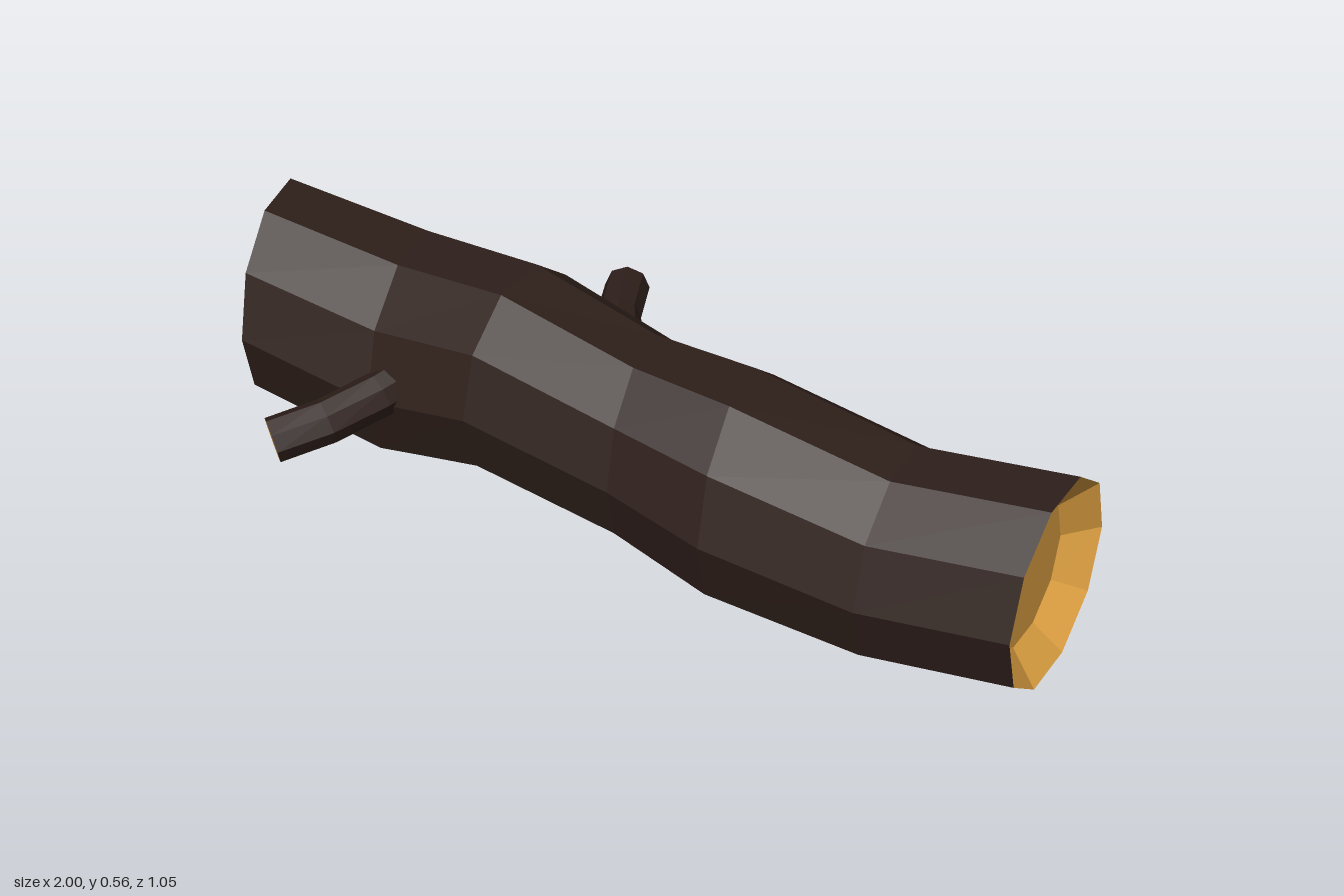
import * as THREE from 'three';

const bark = new THREE.MeshStandardMaterial({ color: 0x2e1f1a, flatShading: true });
const wood = new THREE.MeshStandardMaterial({ color: 0xe0a242, flatShading: true });

// A ring of the loft: centre, axis direction and radius
const ring = (c, axis, r) => ({ c, axis: axis.clone().normalize(), r });

// Skin a sequence of rings; a ring of radius 0 closes the surface to a point
function loft(name, rings, sides, material) {
  const up = new THREE.Vector3(0, 1, 0);
  const loops = rings.map(({ c, axis, r }) => {
    const d = axis.clone().cross(up).normalize();
    const u = d.clone().cross(axis);
    return Array.from({ length: sides }, (_, j) => {
      const a = (j / sides) * Math.PI * 2;
      return c.clone().addScaledVector(d, r * Math.cos(a)).addScaledVector(u, r * Math.sin(a));
    });
  });
  const points = [];
  for (let i = 0; i < rings.length - 1; i++) {
    for (let j = 0; j < sides; j++) {
      const k = (j + 1) % sides;
      const a = loops[i][j], b = loops[i + 1][j], c = loops[i + 1][k], d = loops[i][k];
      if (rings[i + 1].r > 0) points.push(a, b, c);
      if (rings[i].r > 0) points.push(a, c, d);
    }
  }
  const geometry = new THREE.BufferGeometry().setFromPoints(points);
  geometry.computeVertexNormals();
  const mesh = new THREE.Mesh(geometry, material);
  mesh.name = name;
  return mesh;
}

// Branch stub swept along a short path, closed by a flat cut
function branch(name, path, radius) {
  const pts = path.map((p) => new THREE.Vector3(...p));
  const rings = pts.map((p, i) => {
    const axis = pts[Math.min(i + 1, pts.length - 1)].clone().sub(pts[Math.max(i - 1, 0)]);
    return ring(p, axis, radius);
  });
  const tip = rings[rings.length - 1];
  const group = new THREE.Group();
  group.name = name;
  group.add(
    loft(name + 'Bark', rings, 8, bark),
    loft(name + 'Cut', [tip, ring(tip.c, tip.axis, 0)], 8, wood),
  );
  return group;
}

export function createModel() {
  const model = new THREE.Group();
  model.name = 'log';

  // Trunk rings: x, y, z, radius, yaw
  const trunk = [
    [-0.88, 0.33, 0.185, 0.241, 0.53],
    [-0.565, 0.273, 0.067, 0.252, 0.45],
    [-0.28, 0.316, 0.015, 0.232, 0.3],
    [0.035, 0.27, -0.048, 0.22, 0.46],
    [0.265, 0.243, -0.1, 0.247, 0.44],
    [0.625, 0.215, -0.19, 0.226, 0.34],
    [0.935, 0.245, -0.307, 0.225, 0.29],
  ].map(([x, y, z, r, yaw]) =>
    ring(new THREE.Vector3(x, y, z), new THREE.Vector3(Math.cos(yaw), 0, -Math.sin(yaw)), r));
  model.add(loft('trunkBark', trunk, 10, bark));

  // Dished cut ends: sloping rim down to a sunken disc
  const dish = (rim, depth) => {
    const c = rim.c.clone().addScaledVector(rim.axis, depth);
    return [rim, ring(c, rim.axis, rim.r * 0.69), ring(c, rim.axis, 0)];
  };
  model.add(loft('rightCutEnd', dish(trunk[0], 0.06).reverse(), 10, wood));
  model.add(loft('leftCutEnd', dish(trunk[6], -0.06), 10, wood));

  // Broken side branches
  model.add(branch('frontBranch', [
    [-0.42, 0.32, 0.18], [-0.433, 0.296, 0.28], [-0.463, 0.268, 0.4], [-0.513, 0.243, 0.505],
  ], 0.05));
  model.add(branch('backBranch', [
    [-0.17, 0.28, -0.15], [-0.24, 0.29, -0.235], [-0.32, 0.295, -0.305], [-0.398, 0.3, -0.405],
  ], 0.05));

  return model;
}
